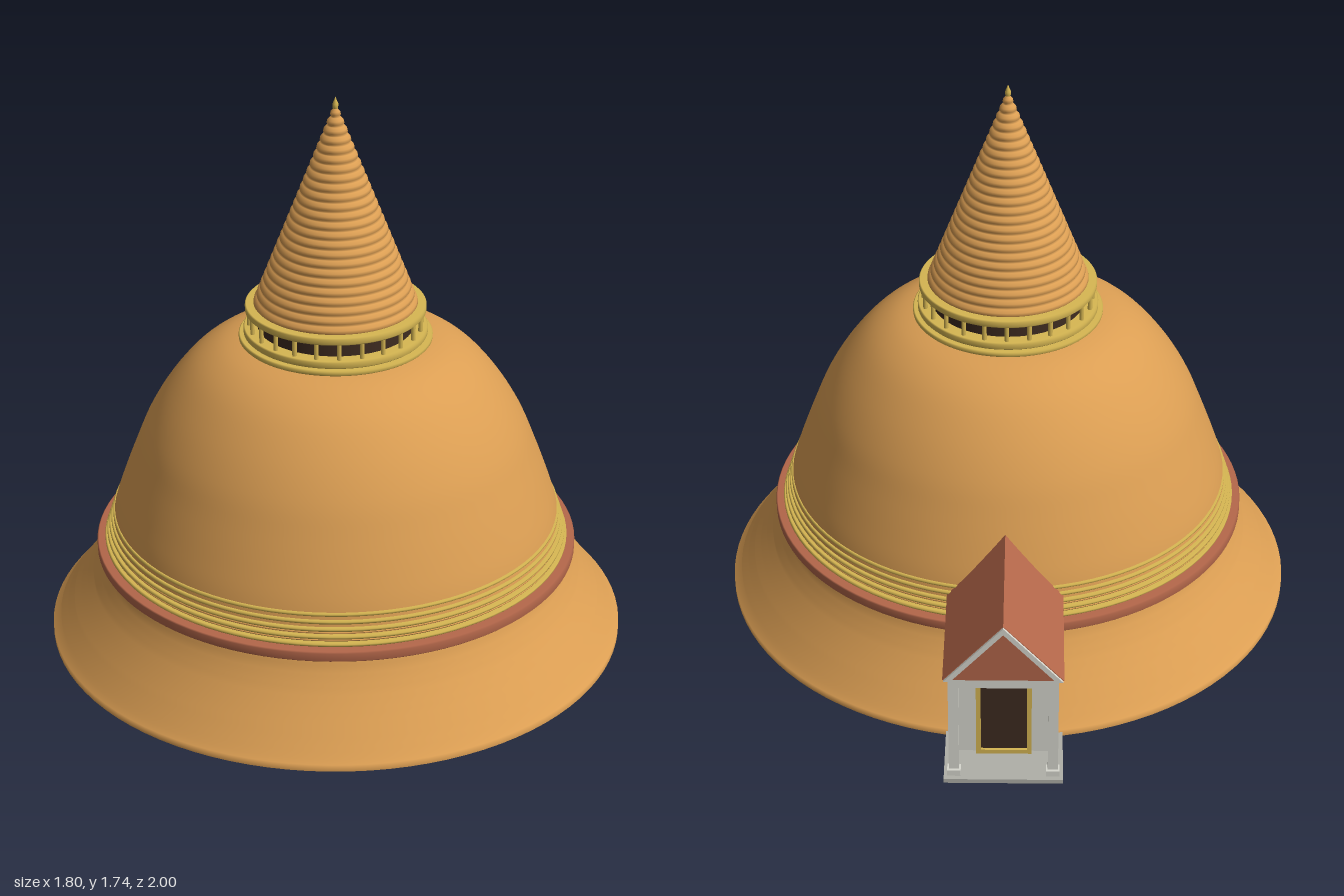
import * as THREE from 'three';

const mat = (name, color) => {
  const m = new THREE.MeshStandardMaterial({ color });
  m.name = name;
  return m;
};

export function createModel() {
  const ochre = mat('ochre plaster', 0xdb9e53);
  const gold = mat('gold trim', 0xd6b652);
  const red = mat('terracotta', 0xb4674a);
  const white = mat('white wall', 0xd8d8cf);
  const dark = mat('dark opening', 0x3e2b20);
  const grey = mat('grey stone', 0xb0b0a8);
  const model = new THREE.Group();
  const stupa = new THREE.Group();
  stupa.name = 'stupa';
  stupa.position.z = 0.1;
  const porch = new THREE.Group();
  porch.name = 'porch';
  model.add(stupa, porch);

  const add = (parent, name, geo, material, x = 0, y = 0, z = 0) => {
    const mesh = new THREE.Mesh(geo, material);
    mesh.name = name;
    mesh.position.set(x, y, z);
    parent.add(mesh);
    return mesh;
  };
  const lathe = (name, pts, material, segs = 96) =>
    add(stupa, name, new THREE.LatheGeometry(pts.map(p => new THREE.Vector2(p[0], p[1])), segs), material);
  const ring = (name, r, y0, y1, material, inner = r - 0.06) => {
    const b = 0.004;
    return lathe(name, [[inner, y0], [r - b, y0], [r, y0 + b], [r, y1 - b], [r - b, y1], [inner, y1]], material);
  };

  // Terraced base with its underside
  const steps = [[0.9, 0]];
  const radii = [0.9, 0.875, 0.852, 0.83, 0.808, 0.787, 0.767, 0.75, 0.735, 0.725];
  radii.forEach((r, i) => {
    const top = 0.022 + i * 0.029;
    steps.push([r, top]);
    steps.push([radii[i + 1] ?? 0.7, top + 0.002]);
  });
  lathe('terracedBase', steps, ochre);
  add(stupa, 'underside', new THREE.CircleGeometry(0.9, 96).rotateX(Math.PI / 2), ochre);

  // Red moulding and stacked gold bands
  ring('redMoulding', 0.75, 0.274, 0.306, red);
  for (let i = 0; i < 5; i++) {
    const y = 0.308 + i * 0.021;
    ring('goldBand', 0.725 - i * 0.007, y, y + 0.013, gold);
    ring('bandGroove', 0.714 - i * 0.007, y + 0.012, y + 0.022, ochre);
  }

  // Bell-shaped dome
  const bell = new THREE.SplineCurve([[0.715, 0.3], [0.69, 0.41], [0.66, 0.5], [0.622, 0.6], [0.58, 0.7],
    [0.52, 0.8], [0.445, 0.89], [0.37, 0.944], [0.295, 0.97], [0.22, 0.978]].map(p => new THREE.Vector2(...p)));
  lathe('dome', bell.getPoints(40).map(p => [p.x, p.y]), ochre);

  // Collar, dark neck with colonnade, and upper collar
  ring('lowerCollar', 0.295, 0.97, 0.987, gold, 0.2);
  ring('upperStepCollar', 0.28, 0.987, 1.01, gold, 0.2);
  add(stupa, 'neck', new THREE.CylinderGeometry(0.238, 0.238, 0.06, 64), dark, 0, 1.035);
  for (let i = 0; i < 24; i++) {
    const a = i / 24 * Math.PI * 2;
    add(stupa, 'neckPost', new THREE.CylinderGeometry(0.007, 0.007, 0.06, 8), gold,
      Math.sin(a) * 0.262, 1.035, Math.cos(a) * 0.262);
  }
  ring('upperCollar', 0.275, 1.06, 1.083, gold, 0.18);

  // Ringed spire and finial
  const spire = [];
  const count = 24;
  for (let i = 0; i < count; i++) {
    const y = 1.08 + i * 0.62 / count, r = 0.243 * (1 - i / count) + 0.006, h = 0.62 / count;
    spire.push([r - 0.006, y], [r, y + h * 0.25], [r - 0.002, y + h * 0.6], [r - 0.01, y + h * 0.95]);
  }
  spire.push([0, 1.705]);
  lathe('spire', spire.map(([r, y]) => [Math.max(r, 0), y]), ochre, 64);
  lathe('finial', [[0.003, 1.69], [0.008, 1.7], [0.009, 1.712], [0.004, 1.724], [0, 1.735]], gold, 16);

  // Porch at the back: floor, walls, posts, lintel
  const box = (name, w, h, d, material, x, y, z) =>
    add(porch, name, new THREE.BoxGeometry(w, h, d), material, x, y, z);
  box('floor', 0.35, 0.014, 0.225, grey, 0, 0.007, -0.8875);
  for (const s of [-1, 1]) {
    box('sideWall', 0.02, 0.36, 0.465, white, s * 0.145, 0.19, -0.7375);
    box('cornerPost', 0.03, 0.36, 0.02, white, s * 0.145, 0.19, -0.967);
    box('postFoot', 0.04, 0.02, 0.03, white, s * 0.145, 0.024, -0.97);
    box('doorJamb', 0.014, 0.27, 0.014, gold, s * 0.075, 0.15, -0.878);
  }
  box('lintel', 0.31, 0.035, 0.03, white, 0, 0.355, -0.965);
  box('rearWall', 0.28, 0.36, 0.02, white, 0, 0.19, -0.86);
  box('ceiling', 0.28, 0.012, 0.11, grey, 0, 0.366, -0.91);
  box('door', 0.15, 0.27, 0.008, dark, 0, 0.15, -0.872);
  box('doorHead', 0.164, 0.014, 0.014, gold, 0, 0.285, -0.878);
  box('doorSill', 0.164, 0.014, 0.014, gold, 0, 0.022, -0.878);

  // Gabled roof, running into the dome
  const gable = new THREE.Shape([[-0.175, 0.37], [0.175, 0.37], [0, 0.562]].map(p => new THREE.Vector2(...p)));
  add(porch, 'roof', new THREE.ExtrudeGeometry(gable, { depth: 0.465, bevelEnabled: false }), red, 0, 0, -0.985);

  // Thin pale bargeboards along the gable edge
  const trim = new THREE.Shape([[-0.172, 0.37], [0, 0.56], [0.172, 0.37], [0.152, 0.37], [0, 0.538], [-0.152, 0.37]]
    .map(p => new THREE.Vector2(...p)));
  add(porch, 'bargeboard', new THREE.ExtrudeGeometry(trim, { depth: 0.008, bevelEnabled: false }), white, 0, 0, -0.993);
  return model;
}
